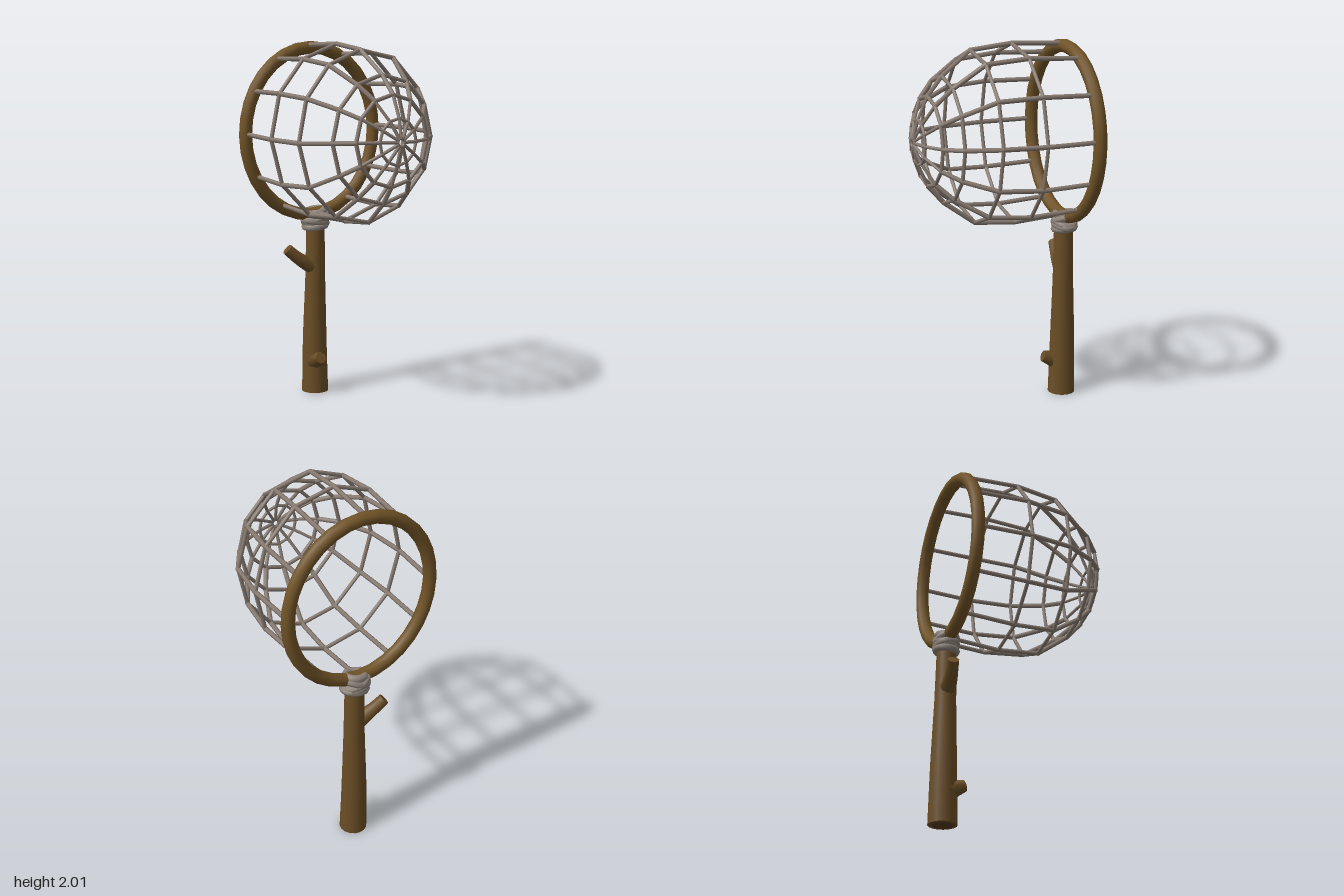
import * as THREE from 'three';
import { mergeGeometries } from 'three/addons/utils/BufferGeometryUtils.js';

const V = (x, y, z) => new THREE.Vector3(x, y, z);
const bark = new THREE.MeshStandardMaterial({ color: 0x6b4e26 });
const cutWood = new THREE.MeshStandardMaterial({ color: 0x57391f });
const hoopWood = new THREE.MeshStandardMaterial({ color: 0x705327 });
const cord = new THREE.MeshStandardMaterial({ color: 0x897c72 });
const rope = new THREE.MeshStandardMaterial({ color: 0x8f857c });

function part(name, geometry, material) {
  const mesh = new THREE.Mesh(geometry, material);
  mesh.name = name;
  return mesh;
}

// Round branch along a curve with a changing radius and flat ends
function branch(points, radii, sides = 14, steps = 12) {
  const curve = new THREE.CatmullRomCurve3(points);
  const tube = new THREE.TubeGeometry(curve, steps, 1, sides, false);
  const pos = tube.attributes.position;
  const radiusAt = (t) => {
    const f = t * (radii.length - 1);
    const i = Math.min(Math.floor(f), radii.length - 2);
    return THREE.MathUtils.lerp(radii[i], radii[i + 1], f - i);
  };
  const p = V(0, 0, 0);
  for (let i = 0; i <= steps; i++) {
    const c = curve.getPointAt(i / steps);
    for (let j = 0; j <= sides; j++) {
      const k = i * (sides + 1) + j;
      p.fromBufferAttribute(pos, k).sub(c).multiplyScalar(radiusAt(i / steps)).add(c);
      pos.setXYZ(k, p.x, p.y, p.z);
    }
  }
  const caps = [0, 1].map((t) => {
    const dir = curve.getTangentAt(t).multiplyScalar(t ? 1 : -1);
    const c = curve.getPointAt(t);
    return new THREE.CircleGeometry(radiusAt(t), sides)
      .applyQuaternion(new THREE.Quaternion().setFromUnitVectors(V(0, 0, 1), dir))
      .translate(c.x, c.y, c.z);
  });
  return mergeGeometries([tube, ...caps]);
}

// Straight cord between two knots of the net
function rod(a, b, r) {
  const d = b.clone().sub(a);
  const m = a.clone().add(b).multiplyScalar(0.5);
  return new THREE.CylinderGeometry(r, r, d.length() + r * 0.6, 6, 1)
    .applyQuaternion(new THREE.Quaternion().setFromUnitVectors(V(0, 1, 0), d.normalize()))
    .translate(m.x, m.y, m.z);
}

export function createModel() {
  const model = new THREE.Group();

  // Handle: a cut branch, thicker at the foot, with two side stubs
  const handle = new THREE.Group();
  handle.name = 'handle';
  handle.add(
    part('shaft', branch(
      [V(0.016, 0.001, -0.4), V(0.016, 0.3, -0.402), V(0.02, 0.65, -0.4), V(0.022, 1.01, -0.398)],
      [0.076, 0.068, 0.057, 0.052], 16), bark),
    part('cutFace', new THREE.CircleGeometry(0.056, 16)
      .rotateX(Math.PI / 2).translate(0.016, -0.001, -0.4), cutWood),
    part('upperTwig', branch(
      [V(0.025, 0.715, -0.395), V(-0.06, 0.765, -0.405), V(-0.095, 0.79, -0.412), V(-0.148, 0.838, -0.425)],
      [0.05, 0.041, 0.034, 0.032], 10, 8), bark),
    part('lowerStub', branch(
      [V(0.004, 0.185, -0.375), V(-0.002, 0.2, -0.335), V(-0.008, 0.216, -0.294)],
      [0.06, 0.042, 0.031], 10, 6), bark));
  model.add(handle);

  // Hoop: an upright oval of bent wood
  const ovalPoints = [];
  for (let i = 0; i < 20; i++) {
    const a = (i / 20) * Math.PI * 2;
    ovalPoints.push(V(0.416 * Math.cos(a), 1.497 + 0.467 * Math.sin(a), -0.405));
  }
  const oval = new THREE.CatmullRomCurve3(ovalPoints, true);
  model.add(part('hoop', new THREE.TubeGeometry(oval, 32, 0.036, 10, true), hoopWood));

  // Net: rings as [z, half width, half height, twist in degrees], joined by strands
  const rings = [
    [-0.4, 0.412, 0.467, 2.5],
    [-0.1, 0.43, 0.482, 3.4],
    [0.135, 0.403, 0.458, 4],
    [0.303, 0.306, 0.335, 1],
    [0.388, 0.22, 0.238, -1],
    [0.442, 0.112, 0.12, -3],
    [0.468, 0.02, 0.022, 0],
  ];
  const strands = 12;
  const knot = (r, i) => {
    const [z, w, h, twist] = rings[r];
    const a = (i / strands) * Math.PI * 2;
    // The twist is strongest at the top and bottom of the net
    const b = a + THREE.MathUtils.degToRad(twist) * (0.35 + 0.65 * Math.sin(a) ** 2);
    return V(w * Math.cos(b), 1.51 + h * Math.sin(b), z);
  };
  const lengthwise = [], crosswise = [];
  for (let r = 1; r < rings.length; r++) {
    for (let i = 0; i < strands; i++) {
      lengthwise.push(rod(knot(r - 1, i), knot(r, i), r > 4 ? 0.009 : 0.0128));
      crosswise.push(rod(knot(r, i), knot(r, i + 1), r > 4 ? 0.008 : 0.0108));
    }
  }
  const net = new THREE.Group();
  net.name = 'net';
  net.add(part('netStrands', mergeGeometries(lengthwise), cord),
    part('netRings', mergeGeometries(crosswise), cord));
  model.add(net);

  // Binding: rope turns, as [height, half width, half depth, tilt about x, tilt about z]
  const binding = new THREE.Group();
  binding.name = 'binding';
  const turns = [
    [0.964, 0.06, 0.052, 0.06, 0.1],
    [0.985, 0.068, 0.052, -0.06, -0.16],
    [1.01, 0.068, 0.053, 0.08, 0.42],
    [1.01, 0.068, 0.053, -0.08, -0.42],
    [1.045, 0.052, 0.045, 0.1, 0.16],
  ];
  for (const [y, w, d, tx, tz] of turns) {
    const loop = new THREE.CatmullRomCurve3(Array.from({ length: 12 }, (_, i) => {
      const a = (i / 12) * Math.PI * 2;
      return V(w * Math.cos(a), 0, d * Math.sin(a));
    }), true);
    const turn = part('ropeTurn', new THREE.TubeGeometry(loop, 24, 0.021, 8, true), rope);
    turn.position.set(0.022, y, -0.402);
    turn.rotation.set(tx, 0, tz);
    binding.add(turn);
  }
  model.add(binding);
  return model;
}
